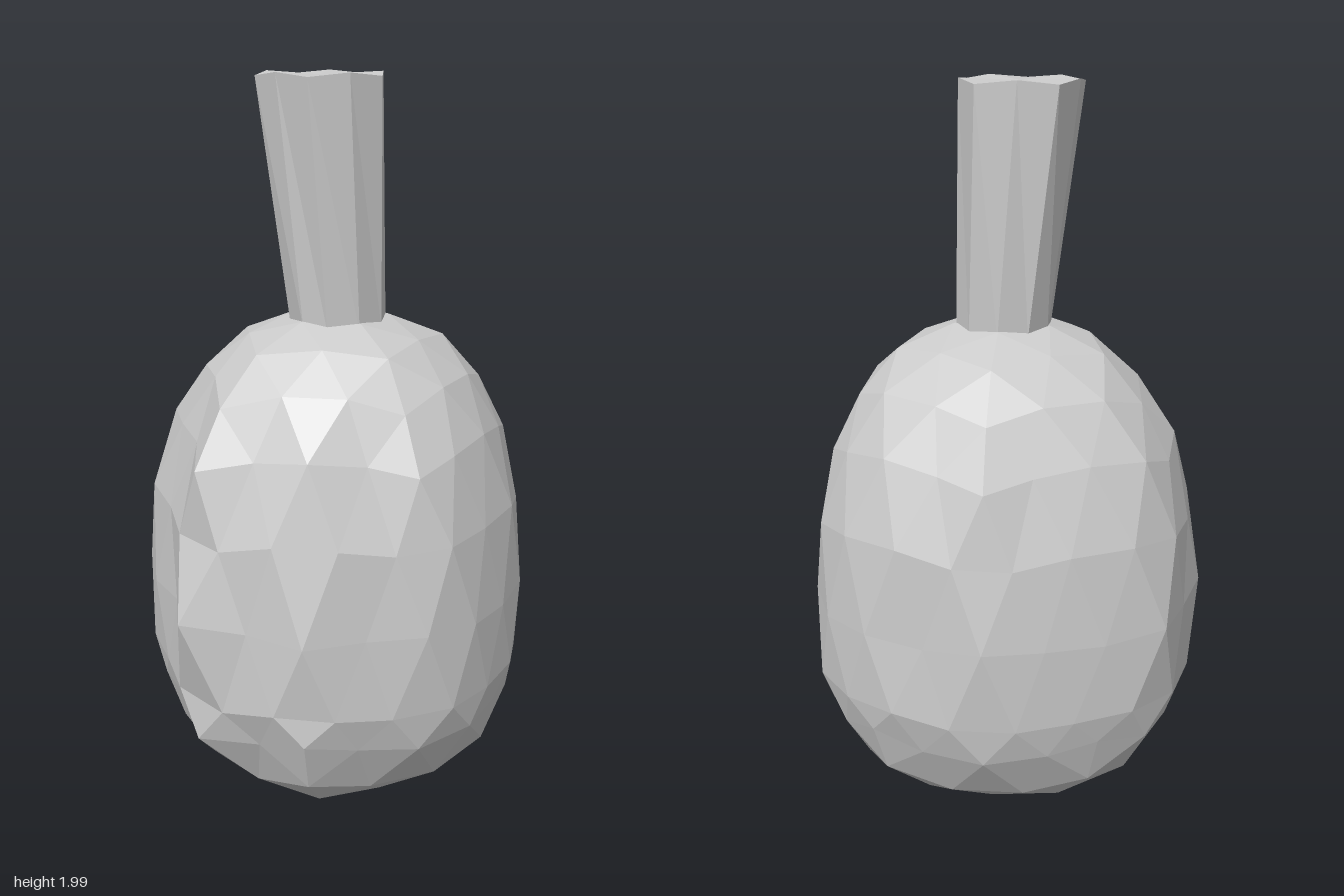
import * as THREE from 'three';

const material = new THREE.MeshStandardMaterial({ color: 0xcccccc, flatShading: true });

// Body profile: polar angle from the top (degrees), radius, height
const PROFILE = [
  [0, 0, 1.38], [14, 0.13, 1.365], [32, 0.29, 1.3], [48, 0.385, 1.19], [63, 0.455, 1.03],
  [75, 0.5, 0.85], [90, 0.52, 0.62], [105, 0.515, 0.4], [117, 0.5, 0.33], [132, 0.45, 0.18],
  [148, 0.31, 0.055], [166, 0.15, 0.02], [180, 0, 0.01],
];
// Uneven outline, one radius every 18 degrees from +x towards +z
const OUTLINE = [
  0.53, 0.52, 0.515, 0.52, 0.515, 0.49, 0.54, 0.505, 0.57, 0.49,
  0.525, 0.55, 0.54, 0.565, 0.53, 0.51, 0.525, 0.52, 0.54, 0.555,
];
// Rim of the stem's top, as x, z
const RIM = [
  [0.12, -0.01], [0.1, 0.09], [0.01, 0.14], [-0.1, 0.16], [-0.17, 0.07],
  [-0.215, -0.01], [-0.175, -0.11], [-0.1, -0.19], [0, -0.16], [0.1, -0.12],
];

function profileAt(deg) {
  let i = 0;
  while (i < PROFILE.length - 2 && deg > PROFILE[i + 1][0]) i++;
  const a = PROFILE[i], b = PROFILE[i + 1];
  const t = (deg - a[0]) / (b[0] - a[0]);
  return [THREE.MathUtils.lerp(a[1], b[1], t), THREE.MathUtils.lerp(a[2], b[2], t)];
}

function outlineAt(azimuth) {
  const f = ((azimuth / (Math.PI * 2) + 1) % 1) * OUTLINE.length;
  const i = Math.floor(f);
  return THREE.MathUtils.lerp(OUTLINE[i % 20], OUTLINE[(i + 1) % 20], f - i);
}

// Faceted, lumpy body: a geodesic ball reshaped by the profile and outline
function createBody() {
  const geometry = new THREE.IcosahedronGeometry(1, 3);
  geometry.rotateZ(-Math.atan(2 / (1 + Math.sqrt(5)))); // a corner points up
  const p = geometry.attributes.position;
  for (let i = 0; i < p.count; i++) {
    const x = p.getX(i), y = p.getY(i), z = p.getZ(i);
    const azimuth = Math.atan2(z, x);
    const [r, h] = profileAt(THREE.MathUtils.radToDeg(Math.acos(THREE.MathUtils.clamp(y, -1, 1))));
    const weight = THREE.MathUtils.smoothstep(Math.hypot(x, z), 0.3, 0.9);
    const lump = 0.012 * Math.sin(9 * x + 5 * y) * Math.sin(7 * z - 6 * y + 1) * (1 - y * y);
    const radius = r * (1 + weight * (outlineAt(azimuth) / 0.52 - 1)) + lump;
    p.setXYZ(i, radius * Math.cos(azimuth), h + lump, radius * Math.sin(azimuth));
  }
  geometry.computeVertexNormals();
  return new THREE.Mesh(geometry, material);
}

// Flaring, slightly twisted stem with a flat top
function createStem() {
  const n = RIM.length, positions = [], index = [];
  RIM.forEach(([x, z]) => {
    const a = Math.atan2(z + 0.015, x + 0.045) - 0.61;
    positions.push(0.13 * Math.cos(a), 1.34, 0.13 * Math.sin(a));
  });
  RIM.forEach(([x, z], i) => positions.push(x, i % 2 ? 1.99 : 2, z));
  positions.push(-0.045, 1.992, -0.015);
  for (let i = 0; i < n; i++) {
    const j = (i + 1) % n;
    index.push(i, n + i, j, j, n + i, n + j, n + i, 2 * n, n + j);
  }
  const geometry = new THREE.BufferGeometry();
  geometry.setAttribute('position', new THREE.Float32BufferAttribute(positions, 3));
  geometry.setIndex(index);
  const flat = geometry.toNonIndexed();
  flat.computeVertexNormals();
  return new THREE.Mesh(flat, material);
}

export function createModel() {
  const group = new THREE.Group();
  const body = createBody();
  body.name = 'body';
  const stem = createStem();
  stem.name = 'stem';
  group.add(body, stem);
  return group;
}
